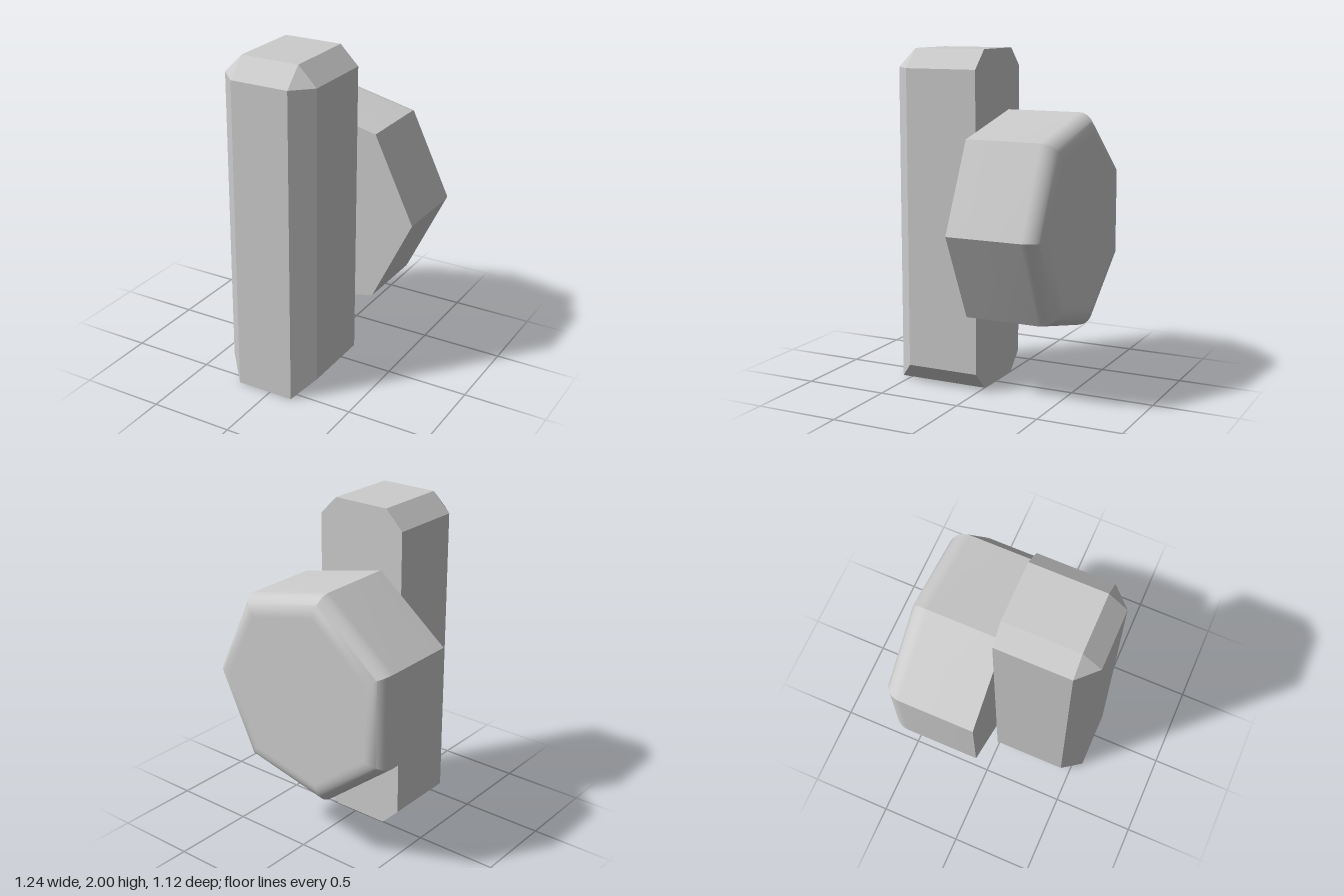
import * as THREE from 'three';
import { toCreasedNormals } from 'three/addons/utils/BufferGeometryUtils.js';
import { ConvexGeometry } from 'three/addons/geometries/ConvexGeometry.js';

const CENTRE_X = -0.033;

// Upright bar: flat back, chamfered on the sides, ends and top front edge
function barGeometry() {
  const outer = 0.29, c = 0.112, inner = outer - c, height = 2, depth = 0.56;
  const points = [];
  for (const s of [-1, 1]) {
    const add = (x, y, z) => points.push(new THREE.Vector3(s * x, y, z));
    for (const z of [0, depth - c]) {
      add(outer, c, z);
      add(outer, height - c, z);
      add(inner, height, z);
    }
    add(inner, 0, 0);
    add(inner, 0, depth);
    add(inner, height - c, depth);
  }
  return new ConvexGeometry(points);
}

// Seven-sided knob with a rounded back rim
function knobGeometry() {
  const sides = 7, radius = 0.652, depth = 0.56, fillet = 0.11, steps = 10;
  const cornerInset = fillet / Math.cos(Math.PI / sides);
  const profile = [new THREE.Vector2(0, 0), new THREE.Vector2(radius, 0)];
  for (let i = 0; i <= steps; i++) {
    const a = (i / steps) * Math.PI / 2;
    profile.push(new THREE.Vector2(
      radius - cornerInset * (1 - Math.cos(a)),
      depth - fillet * (1 - Math.sin(a))
    ));
  }
  // a narrow ring keeps the back face flat-shaded
  profile.push(new THREE.Vector2(radius - cornerInset - 0.01, depth), new THREE.Vector2(0, depth));
  const lathe = new THREE.LatheGeometry(profile, sides, Math.PI / 2);
  lathe.rotateX(-Math.PI / 2);
  return toCreasedNormals(lathe, THREE.MathUtils.degToRad(28));
}

export function createModel() {
  const model = new THREE.Group();
  model.name = 'barWithKnob';
  const material = new THREE.MeshStandardMaterial({ color: 0xcccccc });

  const bar = new THREE.Mesh(barGeometry(), material);
  bar.name = 'bar';
  bar.position.x = CENTRE_X;

  const knob = new THREE.Mesh(knobGeometry(), material);
  knob.name = 'knob';
  knob.position.set(CENTRE_X, 1, 0);

  model.add(bar, knob);
  return model;
}
